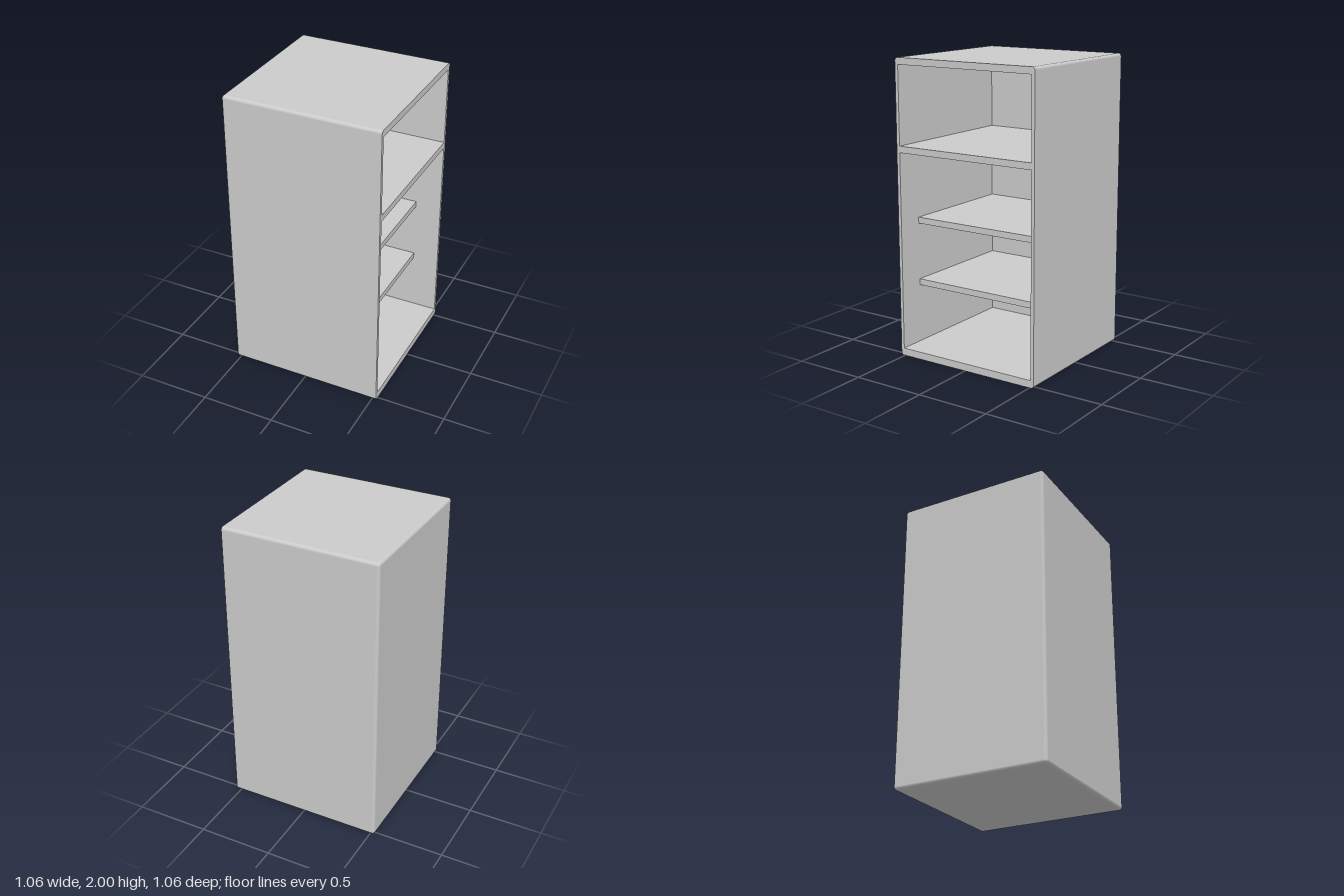
import * as THREE from 'three';

const HALF = 0.53;        // half width and half depth
const R = 0.02;           // edge rounding
const STEPS = 6;          // segments per rounded edge
const IN_Z = 0.507;       // cavity half depth
const IN_BOTTOM = 0.05, IN_TOP = 1.955;
const IN_BACK = -0.505;   // inner face of the back panel

const material = new THREE.MeshStandardMaterial({ color: 0xcccccc });

// Lofts rounded rectangles along x; each ring also carries its normal's x and radial parts
function loft(rings) {
  const pos = [], nor = [], idx = [];
  const n = 4 * (STEPS + 1);
  for (const { x, hz, hy, yc = 1, rad = 0, nx, nr } of rings) {
    for (let q = 0; q < 4; q++) {
      const sz = q === 0 || q === 3 ? 1 : -1;
      const sy = q < 2 ? 1 : -1;
      for (let k = 0; k <= STEPS; k++) {
        const a = (q + k / STEPS) * Math.PI / 2;
        const c = Math.cos(a), s = Math.sin(a);
        pos.push(x, yc + sy * hy + rad * s, sz * hz + rad * c);
        nor.push(nx, nr * s, nr * c);
      }
    }
  }
  for (let i = 0; i < rings.length - 1; i++) {
    for (let j = 0; j < n; j++) {
      const a = i * n + j, b = i * n + (j + 1) % n;
      idx.push(a, a + n, b, b, a + n, b + n);
    }
  }
  const g = new THREE.BufferGeometry();
  g.setAttribute('position', new THREE.Float32BufferAttribute(pos, 3));
  g.setAttribute('normal', new THREE.Float32BufferAttribute(nor, 3));
  g.setIndex(idx);
  return g;
}

// Hollow cabinet body, open towards +x with a sharp rim
function cabinetShell() {
  const outer = { hz: HALF - R, hy: 1 - R };
  const inner = { hz: IN_Z, hy: (IN_TOP - IN_BOTTOM) / 2, yc: (IN_TOP + IN_BOTTOM) / 2 };
  const rings = [{ x: -HALF, hz: 0, hy: 0, nx: -1, nr: 0 }];
  for (let k = 0; k <= STEPS; k++) {
    const a = k / STEPS * Math.PI / 2;
    const c = Math.cos(a), s = Math.sin(a);
    rings.push({ ...outer, x: -HALF + R * (1 - c), rad: R * s, nx: -c, nr: s });
  }
  rings.push(
    { ...outer, x: HALF, rad: R, nx: 0, nr: 1 },
    { ...outer, x: HALF, rad: R, nx: 1, nr: 0 },
    { ...inner, x: HALF, nx: 1, nr: 0 },
    { ...inner, x: HALF, nx: 0, nr: -1 },
    { ...inner, x: IN_BACK, nx: 0, nr: -1 },
    { ...inner, x: IN_BACK, nx: 1, nr: 0 },
    { ...inner, x: IN_BACK, hz: 0, hy: 0, nx: 1, nr: 0 },
  );
  return loft(rings);
}

export function createModel() {
  const group = new THREE.Group();
  group.name = 'cabinet';

  const shell = new THREE.Mesh(cabinetShell(), material);
  shell.name = 'cabinetShell';
  group.add(shell);

  // Full-depth divider and two set-back shelves
  const boards = [
    ['divider', 1.386, 1.43, HALF],
    ['upperShelf', 0.88, 0.922, 0.35],
    ['lowerShelf', 0.45, 0.492, 0.35],
  ];
  for (const [name, y0, y1, edge] of boards) {
    const board = new THREE.Mesh(new THREE.BoxGeometry(edge - IN_BACK, y1 - y0, 2 * IN_Z), material);
    board.position.set((edge + IN_BACK) / 2, (y0 + y1) / 2, 0);
    board.name = name;
    group.add(board);
  }
  return group;
}
